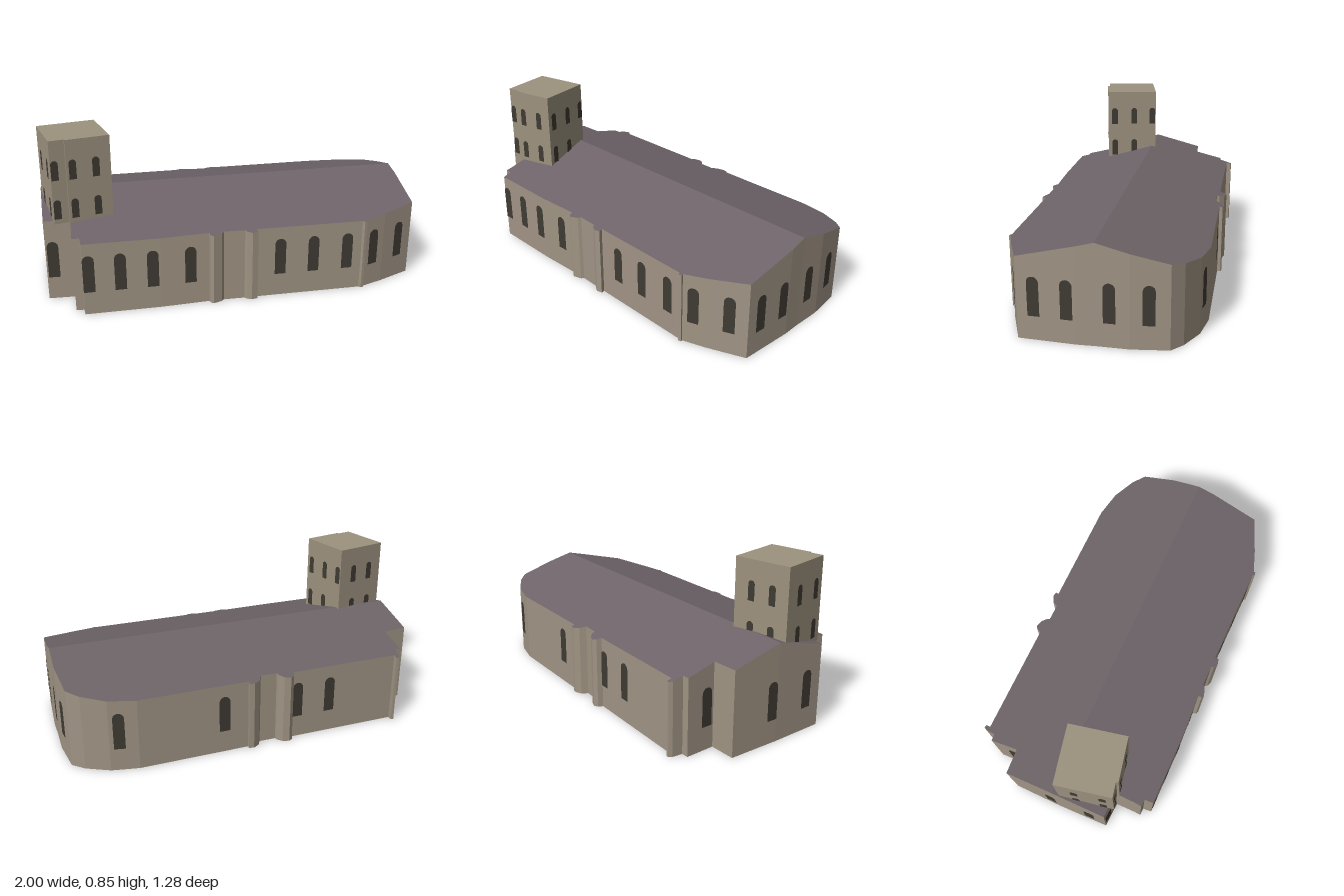
import * as THREE from 'three';

// Ridge of the roof, [x, z]
const RIDGE_W = [-0.948, -0.19], RIDGE_E = [0.947, 0.222];
const RIDGE_Y = 0.5, PITCH = 0.256;

// Footprint north of the ridge, west to east
const NORTH = [
  [-0.89, -0.45], [-0.76, -0.43], [-0.735, -0.58], [-0.7, -0.575], [-0.685, -0.625],
  [-0.672, -0.64], [-0.658, -0.635], [-0.663, -0.61], [-0.085, -0.483], [-0.07, -0.505],
  [-0.048, -0.512], [-0.018, -0.495], [0, -0.465], [0, -0.45], [0.085, -0.43],
  [0.11, -0.457], [0.145, -0.467], [0.17, -0.457], [0.165, -0.44], [0.725, -0.318],
  [0.855, -0.26], [0.955, -0.175], [1, -0.11], [0.983, 0.07],
];
// Footprint south of the ridge, east to west
const SOUTH = [
  [0.93, 0.31], [0.855, 0.577], [0.66, 0.613], [0.535, 0.628], [0.535, 0.638],
  [0.52, 0.638], [0.515, 0.625], [-0.027, 0.5], [-0.027, 0.52], [-0.058, 0.52],
  [-0.08, 0.502], [-0.085, 0.488], [-0.19, 0.462], [-0.205, 0.473], [-0.25, 0.478],
  [-0.262, 0.467], [-0.262, 0.447], [-0.5, 0.405], [-0.872, 0.322], [-0.866, 0.275],
  [-0.903, 0.265], [-0.893, 0.23], [-0.872, 0.125], [-1, 0.09],
];
const OUTLINE = [RIDGE_W, ...NORTH, RIDGE_E, ...SOUTH];

// The roof falls evenly to either side of the ridge
function roofHeight([x, z]) {
  const dx = RIDGE_E[0] - RIDGE_W[0], dz = RIDGE_E[1] - RIDGE_W[1];
  const d = Math.abs((z - RIDGE_W[1]) * dx - (x - RIDGE_W[0]) * dz) / Math.hypot(dx, dz);
  return RIDGE_Y - PITCH * d;
}

function fromTriangles(positions) {
  const g = new THREE.BufferGeometry();
  g.setAttribute('position', new THREE.Float32BufferAttribute(positions, 3));
  g.computeVertexNormals();
  return g;
}

// Fill an outline with triangles that all face up or all face down
function cap(points, height, up) {
  const flat = points.map(([x, z]) => new THREE.Vector2(x, z));
  const out = [];
  for (const tri of THREE.ShapeUtils.triangulateShape(flat, [])) {
    const [a, b, c] = tri.map((i) => points[i]);
    const ny = (b[1] - a[1]) * (c[0] - a[0]) - (b[0] - a[0]) * (c[1] - a[1]);
    const order = (ny > 0) === up ? [a, b, c] : [a, c, b];
    for (const p of order) out.push(p[0], height(p), p[1]);
  }
  return out;
}

function wallTriangles() {
  const out = [];
  OUTLINE.forEach((a, i) => {
    const b = OUTLINE[(i + 1) % OUTLINE.length];
    const A = [a[0], 0, a[1]], B = [b[0], 0, b[1]];
    const At = [a[0], roofHeight(a), a[1]], Bt = [b[0], roofHeight(b), b[1]];
    out.push(...B, ...A, ...At, ...B, ...At, ...Bt);
  });
  return out;
}

// Round-headed window pane with its sill at y = 0
function archPane(w, h) {
  const s = new THREE.Shape();
  s.moveTo(-w / 2, 0);
  s.lineTo(w / 2, 0);
  s.lineTo(w / 2, h - w / 2);
  s.absarc(0, h - w / 2, w / 2, 0, Math.PI, false);
  s.closePath();
  return new THREE.ShapeGeometry(s, 8);
}

// Nearest point on the walls and the outward direction there
function onWall(x, z) {
  let best = { d: Infinity };
  OUTLINE.forEach((a, i) => {
    const b = OUTLINE[(i + 1) % OUTLINE.length];
    const dx = b[0] - a[0], dz = b[1] - a[1], len = Math.hypot(dx, dz);
    if (len < 0.07) return;
    const t = THREE.MathUtils.clamp(((x - a[0]) * dx + (z - a[1]) * dz) / (len * len), 0, 1);
    const px = a[0] + t * dx, pz = a[1] + t * dz, d = Math.hypot(px - x, pz - z);
    if (d < best.d) best = { d, x: px, z: pz, nx: dz / len, nz: -dx / len };
  });
  return best;
}

export function createModel() {
  const material = (name, color) => {
    const m = new THREE.MeshStandardMaterial({ color });
    m.name = name;
    return m;
  };
  const wallStone = material('wallStone', 0xa09484);
  const towerStone = material('towerStone', 0x9d927f);
  const slate = material('roofSlate', 0x6e6469);
  const glass = material('darkGlass', 0x3f3a33);

  const church = new THREE.Group();
  church.name = 'church';
  const add = (parent, name, geometry, mat) => {
    const mesh = new THREE.Mesh(geometry, mat);
    mesh.name = name;
    parent.add(mesh);
    return mesh;
  };

  // Nave
  add(church, 'walls', fromTriangles(wallTriangles()), wallStone);
  add(church, 'floor', fromTriangles(cap(OUTLINE, () => 0, false)), wallStone);
  add(church, 'northRoof', fromTriangles(cap([RIDGE_W, ...NORTH, RIDGE_E], roofHeight, true)), slate);
  add(church, 'southRoof', fromTriangles(cap([RIDGE_E, ...SOUTH, RIDGE_W], roofHeight, true)), slate);

  // Tower, with a shallow step in its south-west corner
  const plan = new THREE.Shape([
    [-0.95, -0.133], [-0.875, -0.133], [-0.875, -0.145],
    [-0.655, -0.145], [-0.655, 0.15], [-0.95, 0.15],
  ].map(([x, y]) => new THREE.Vector2(x, y)));
  const towerGeo = new THREE.ExtrudeGeometry(plan, { depth: 0.425, bevelEnabled: false });
  towerGeo.rotateX(-Math.PI / 2).translate(0, 0.42, 0);
  add(church, 'tower', towerGeo, towerStone);

  const windows = new THREE.Group();
  windows.name = 'windows';
  church.add(windows);
  const placePane = (name, geo, x, y, z, nx, nz) => {
    const pane = add(windows, name, geo, glass);
    pane.position.set(x + nx * 0.003, y, z + nz * 0.003);
    pane.rotation.y = Math.atan2(nx, nz);
  };

  // Nave windows, each snapped to the wall nearest to [x, z]
  const navePane = archPane(0.057, 0.195);
  const naveSpots = [
    [-0.965, 0.1], [-0.845, 0.33], [-0.695, 0.36], [-0.54, 0.396], [-0.355, 0.43],
    [0.095, 0.528], [0.265, 0.567], [0.44, 0.608], [0.59, 0.622], [0.765, 0.593],
    [0.877, 0.5], [0.919, 0.35], [0.964, 0.16], [0.991, -0.015],
    [0.81, -0.28], [0.29, -0.413], [-0.11, -0.488], [-0.29, -0.528],
    [-0.753, -0.47], [-0.936, -0.22], [-0.981, 0],
  ];
  for (const [x, z] of naveSpots) {
    const w = onWall(x, z);
    placePane('naveWindow', navePane, w.x, 0.12, w.z, w.nx, w.nz);
  }

  // Tower windows in two rows
  const towerPane = archPane(0.036, 0.1);
  for (const y of [0.445, 0.645]) {
    placePane('towerWindow', towerPane, -0.93, y, 0.133, 0, 1);
    for (const x of [-0.845, -0.73]) placePane('towerWindow', towerPane, x, y, 0.145, 0, 1);
    for (const x of [-0.865, -0.75]) placePane('towerWindow', towerPane, x, y, -0.15, 0, -1);
    for (const z of [-0.06, 0.08]) placePane('towerWindow', towerPane, -0.95, y, z, -1, 0);
    for (const z of [0.105, -0.015]) placePane('towerWindow', towerPane, -0.655, y, z, 1, 0);
  }
  placePane('towerWindow', towerPane, -0.655, 0.645, -0.128, 1, 0);

  return church;
}
